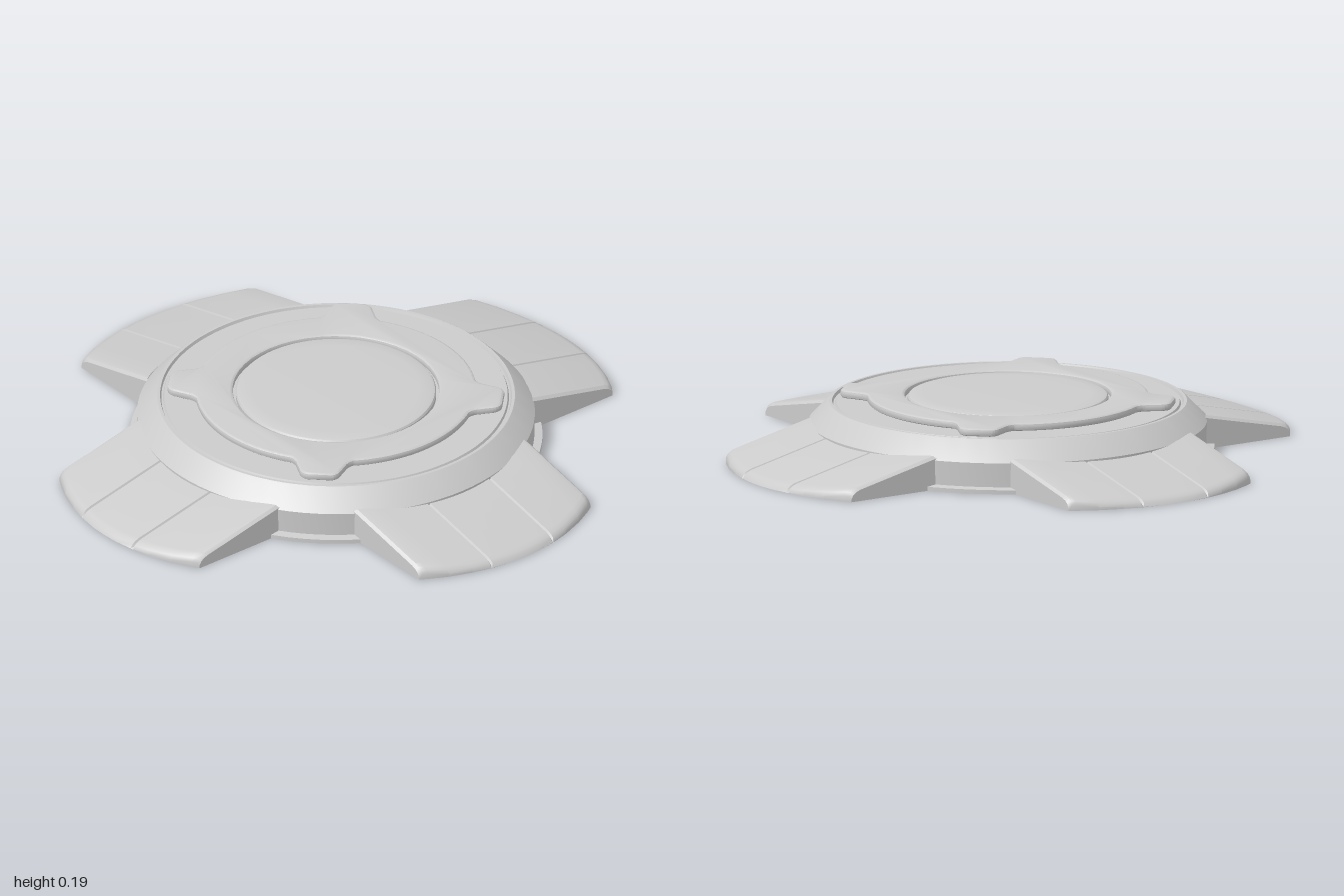
import * as THREE from 'three';
import { toCreasedNormals } from 'three/addons/utils/BufferGeometryUtils.js';

const material = new THREE.MeshStandardMaterial({ color: 0xcccccc, side: THREE.DoubleSide });

function addPart(parent, name, geometry) {
  const mesh = new THREE.Mesh(toCreasedNormals(geometry, 0.5), material);
  mesh.name = name;
  parent.add(mesh);
  return mesh;
}

function lathe(profile) {
  return new THREE.LatheGeometry(profile.map(([r, y]) => new THREE.Vector2(r, y)), 96);
}

// Sloping open-bottomed arm: a grid of columns across x and rows out along z
function armGeometry() {
  // [x, drop below the top]; a null drop means ground level
  const half = [[0.37, null], [0.37, 0.012], [0.36, 0.003], [0.345, 0], [0.28, 0], [0.2, 0],
    [0.136, 0], [0.131, 0.008], [0.126, 0], [0.06, 0]];
  const columns = [...half.map(([x, d]) => [-x, d]), [0, 0], ...half.slice().reverse()];
  // [distance back from the curved tip, drop]
  const tipRows = [[0.035, 0], [0.018, 0.003], [0.007, 0.009], [0, 0.02], [0, null]];
  const positions = [], index = [];
  const rows = tipRows.length + 1;
  for (const [x, drop] of columns) {
    const inner = Math.sqrt(0.66 ** 2 - x * x);
    const tip = 0.32 + Math.sqrt(0.68 ** 2 - x * x);
    const stations = [[inner, 0], ...tipRows.map(([back, d]) => [tip - back, d])];
    for (const [z, d] of stations) {
      const top = 0.102 - 0.22 * (z - 0.62);
      const y = drop === null || d === null ? 0 : Math.max(0, top - drop - d);
      positions.push(x, y, z);
    }
  }
  for (let i = 0; i < columns.length - 1; i++) {
    for (let j = 0; j < rows - 1; j++) {
      const a = i * rows + j, b = a + rows;
      index.push(a, a + 1, b, b, a + 1, b + 1);
    }
  }
  const geometry = new THREE.BufferGeometry();
  geometry.setAttribute('position', new THREE.Float32BufferAttribute(positions, 3));
  geometry.setIndex(index);
  return geometry;
}

// Raised ring outline with four flared ears on the diagonals
function earedRingShape() {
  const shape = new THREE.Shape();
  const deg = Math.PI / 180;
  const polar = (r, a) => [r * Math.cos(a * deg), r * Math.sin(a * deg)];
  shape.moveTo(...polar(0.47, -32));
  for (let k = 0; k < 4; k++) {
    const a = 45 + k * 90;
    shape.absarc(0, 0, 0.47, (a - 77) * deg, (a - 13) * deg, false);
    shape.quadraticCurveTo(...polar(0.48, a - 10.5), ...polar(0.5, a - 9.5));
    shape.lineTo(...polar(0.535, a - 7.5));
    shape.quadraticCurveTo(...polar(0.56, a - 6.5), ...polar(0.563, a - 4));
    shape.lineTo(...polar(0.563, a + 4));
    shape.quadraticCurveTo(...polar(0.56, a + 6.5), ...polar(0.535, a + 7.5));
    shape.lineTo(...polar(0.5, a + 9.5));
    shape.quadraticCurveTo(...polar(0.48, a + 10.5), ...polar(0.47, a + 13));
  }
  const hole = new THREE.Path();
  hole.absarc(0, 0, 0.345, 0, Math.PI * 2, true);
  shape.holes.push(hole);
  return shape;
}

export function createModel() {
  const model = new THREE.Group();
  model.name = 'hubCap';

  // Hollow body: foot flange, wall, sloped rim and grooved top plate
  addPart(model, 'body', lathe([
    [0.69, 0], [0.69, 0.014], [0.663, 0.018], [0.665, 0.1], [0.602, 0.165], [0.598, 0.168],
    [0.588, 0.168], [0.584, 0.158], [0.578, 0.158], [0.574, 0.166], [0, 0.166],
  ]));

  // Raised ring with ears
  const ring = new THREE.ExtrudeGeometry(earedRingShape(), {
    depth: 0.011, bevelThickness: 0.008, bevelSize: 0.01, bevelOffset: -0.01,
    bevelSegments: 3, curveSegments: 24,
  });
  ring.rotateX(-Math.PI / 2);
  addPart(model, 'earedRing', ring).position.y = 0.174;

  // Centre disc, gently rounded at its edge
  addPart(model, 'centreDisc', lathe([
    [0.335, 0.166], [0.335, 0.182], [0.331, 0.188], [0.322, 0.191], [0.28, 0.193], [0, 0.193],
  ]));

  // Four arms around the body
  const arm = armGeometry();
  ['frontArm', 'leftArm', 'backArm', 'rightArm'].forEach((name, k) => {
    addPart(model, name, arm).rotation.y = k * Math.PI / 2;
  });
  return model;
}
